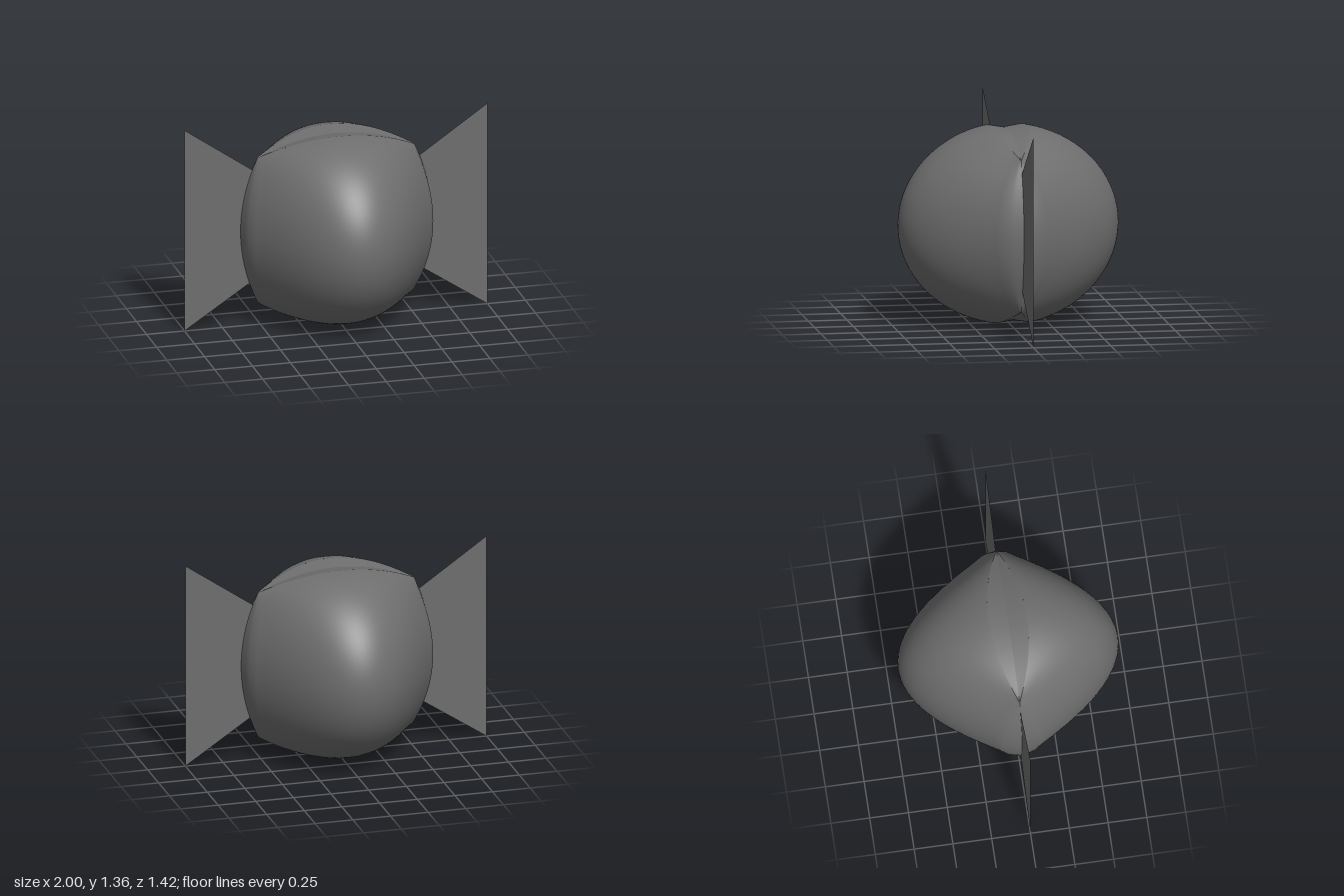
import * as THREE from 'three';
import { ParametricGeometry } from 'three/addons/geometries/ParametricGeometry.js';

const material = new THREE.MeshStandardMaterial({ color: 0x6e6e6e, side: THREE.DoubleSide });

// Point on the puffed front dome, u and v from -1 to 1
function domePoint(u, v, target) {
  const across = Math.max(0, 1 - u * u) ** 1.1;
  const dome = across * (0.715 * Math.sqrt(1 - (0.984 * v) ** 2) - 0.125);
  return target.set(
    u * (0.51 + 0.1 * (1 - v * v)),
    v * (0.495 + 0.135 * (1 - u * u)),
    0.005 + 0.115 * (1 - u * u * v * v) + dome
  );
}

function surface(name, fn, slices, stacks) {
  const mesh = new THREE.Mesh(new ParametricGeometry(fn, slices, stacks), material);
  mesh.name = name;
  return mesh;
}

// One half of the wrapped body, facing +z
function makeHalf(name) {
  const half = new THREE.Group();
  half.name = name;
  const rim = new THREE.Vector3();
  const seam = new THREE.Vector3();

  // Dome whose outer columns (beyond 0.9) run on smoothly to the side seams.
  // Rows are bunched towards the rims, where the dome curves most.
  const shell = surface('shell', (s, t, p) => {
    const u = (2 * s - 1) / 0.9;
    const v = Math.sin((t - 0.5) * Math.PI);
    const past = Math.max(0, Math.abs(u) - 1) * 9;
    domePoint(THREE.MathUtils.clamp(u, -1, 1), v, rim);
    seam.set(Math.sign(u) * (0.52 + 0.11 * (1 - v * v)), 0.485 * v, 0);
    p.lerpVectors(rim, seam, past);
  }, 40, 40);
  shell.geometry.computeVertexNormals();
  half.add(shell);

  // Grooves sinking from the long rims to the middle seam
  for (const [edge, turn] of [['upper', 0], ['lower', Math.PI]]) {
    const groove = surface(edge + 'Groove', (s, t, p) => {
      const u = 2 * s - 1;
      domePoint(u, 1, rim);
      seam.set(0.52 * u, 0.485 + 0.125 * (1 - u * u), 0);
      p.lerpVectors(rim, seam, t);
    }, 32, 2);
    groove.rotation.z = turn;
    half.add(groove);
  }
  return half;
}

export function createModel() {
  const model = new THREE.Group();
  model.name = 'wrappedSweet';

  // Body: two identical halves back to back
  const body = new THREE.Group();
  body.name = 'body';
  body.position.y = 0.64;
  const back = makeHalf('backHalf');
  back.rotation.y = Math.PI;
  body.add(makeHalf('frontHalf'), back);
  model.add(body);

  // Flat fanned wrapper ends
  const fan = new THREE.Shape([
    new THREE.Vector2(0.45, 0.365),
    new THREE.Vector2(1, 0),
    new THREE.Vector2(1, 1.36),
    new THREE.Vector2(0.45, 0.98)
  ]);
  const fanGeometry = new THREE.ShapeGeometry(fan);
  for (const [name, turn] of [['leftWrapperEnd', 0], ['rightWrapperEnd', Math.PI]]) {
    const end = new THREE.Mesh(fanGeometry, material);
    end.name = name;
    end.rotation.y = turn;
    model.add(end);
  }
  return model;
}
